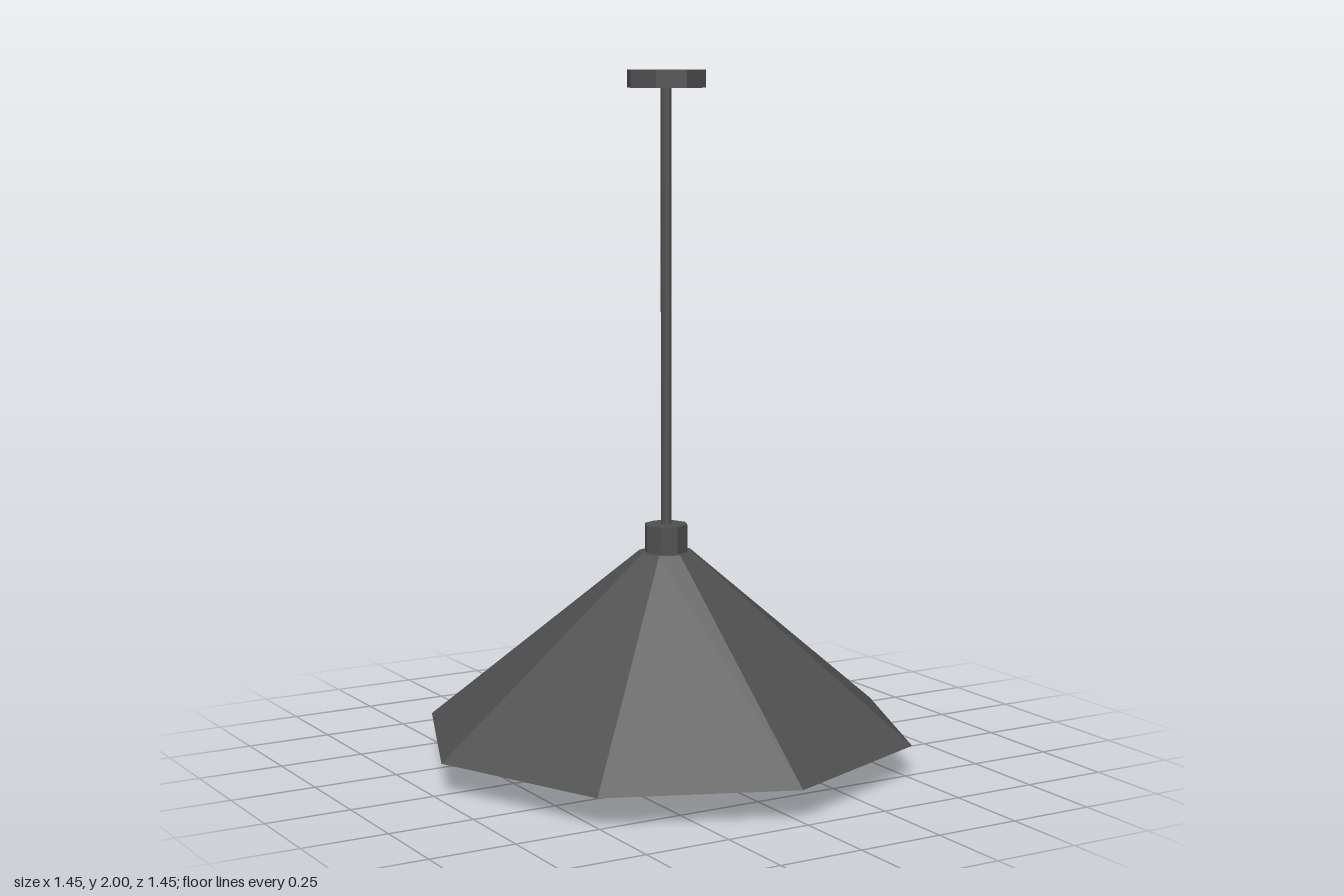
import * as THREE from 'three';

const SIDES = 8;

// Faceted eight-sided solid turned from [radius, height] points, listed counterclockwise
function turned(name, profile, material) {
  const points = profile.map(([r, y]) => new THREE.Vector2(r, y));
  const geometry = new THREE.LatheGeometry(points, SIDES).toNonIndexed();
  geometry.computeVertexNormals();
  const mesh = new THREE.Mesh(geometry, material);
  mesh.name = name;
  return mesh;
}

// Closed straight drum between two heights
const drum = (radius, bottom, top) => [[0, bottom], [radius, bottom], [radius, top], [0, top]];

export function createModel() {
  const metal = new THREE.MeshStandardMaterial({ color: 0x505050 });
  metal.name = 'dark grey metal';
  const glow = new THREE.MeshStandardMaterial({ color: 0xe0d40f });
  glow.name = 'yellow glass';

  const lamp = new THREE.Group();
  lamp.name = 'pendantLamp';
  lamp.add(
    // Ceiling mount, hanging rod and lamp holder
    turned('ceilingMount', drum(0.115, 1.95, 2), metal),
    turned('rod', drum(0.016, 0.69, 1.96), metal),
    turned('socket', drum(0.064, 0.43, 0.7), metal),

    // Conical shade with a thin wall and closed top
    turned('shade', [
      [0.71, 0.09], [0.725, 0.09], [0.08, 0.62], [0, 0.62],
      [0, 0.605], [0.08, 0.605], [0.71, 0.09],
    ], metal),

    // Pear-shaped bulb
    turned('bulb', [
      [0, 0], [0.038, 0], [0.095, 0.05], [0.12, 0.14],
      [0.1, 0.22], [0.048, 0.36], [0.045, 0.44], [0, 0.44],
    ], glow),
  );
  return lamp;
}
